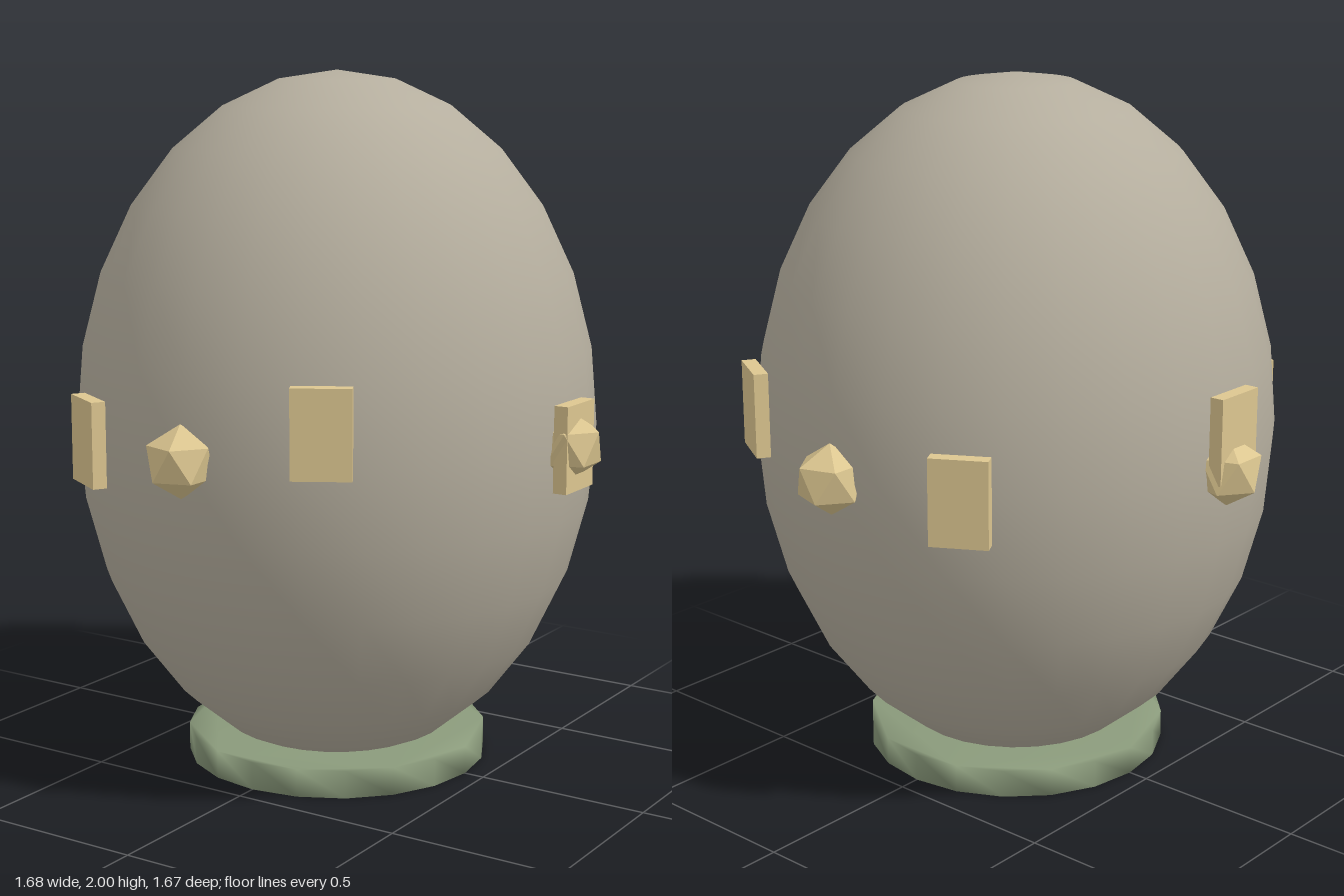
import * as THREE from 'three';
import { mergeVertices } from 'three/addons/utils/BufferGeometryUtils.js';
import { ConvexGeometry } from 'three/addons/geometries/ConvexGeometry.js';

function material(name, color) {
  const m = new THREE.MeshStandardMaterial({ color });
  m.name = name;
  return m;
}

// Icosahedron standing on a vertex, one upper ring corner pointing to +x
function gemGeometry(r) {
  const points = [new THREE.Vector3(0, r, 0), new THREE.Vector3(0, -r, 0)];
  const ring = r * 2 / Math.sqrt(5), h = r / Math.sqrt(5);
  for (let i = 0; i < 10; i++) {
    const a = i * Math.PI / 5;
    points.push(new THREE.Vector3(ring * Math.cos(a), i % 2 ? -h : h, ring * Math.sin(a)));
  }
  return new ConvexGeometry(points);
}

// Disc with normals shared between the wall and the caps, for a soft rim
function baseGeometry(radius, height) {
  const circle = new THREE.Shape().absarc(0, 0, radius, 0, Math.PI * 2);
  const g = new THREE.ExtrudeGeometry(circle, { depth: height, bevelEnabled: false, curveSegments: 10 });
  g.rotateX(-Math.PI / 2);
  g.deleteAttribute('uv');
  g.deleteAttribute('normal');
  g.clearGroups();
  const soft = mergeVertices(g, 1e-4);
  soft.computeVertexNormals();
  return soft;
}

export function createModel() {
  const group = new THREE.Group();
  group.name = 'decoratedEgg';
  const stone = material('warm grey', 0xb5ae9e);
  const gold = material('pale gold', 0xdcc690);
  const green = material('sage green', 0x8a9a7b);

  const add = (name, geometry, mat, x = 0, y = 0, z = 0) => {
    const mesh = new THREE.Mesh(geometry, mat);
    mesh.name = name;
    mesh.position.set(x, y, z);
    group.add(mesh);
    return mesh;
  };

  // Egg body and the foot beneath it
  add('eggShell', new THREE.SphereGeometry(1, 28, 14).scale(0.75, 1, 0.75), stone, 0, 1, 0);
  add('base', baseGeometry(0.44, 0.08), green);

  // Four gems at the quarter points
  const gem = gemGeometry(0.1);
  for (let i = 0; i < 4; i++) {
    const a = i * Math.PI / 2;
    add('gem', gem, gold, 0.75 * Math.cos(a), 1, 0.75 * Math.sin(a));
  }

  // Six plaques around the waist, alternating in height
  const plaque = new THREE.BoxGeometry(0.04, 0.24, 0.16);
  for (let i = 0; i < 6; i++) {
    const a = i * Math.PI / 3;
    const mesh = add('plaque', plaque, gold, 0.765 * Math.cos(a), i % 2 ? 1.1 : 1, 0.765 * Math.sin(a));
    mesh.rotation.y = -a;
  }
  return group;
}
